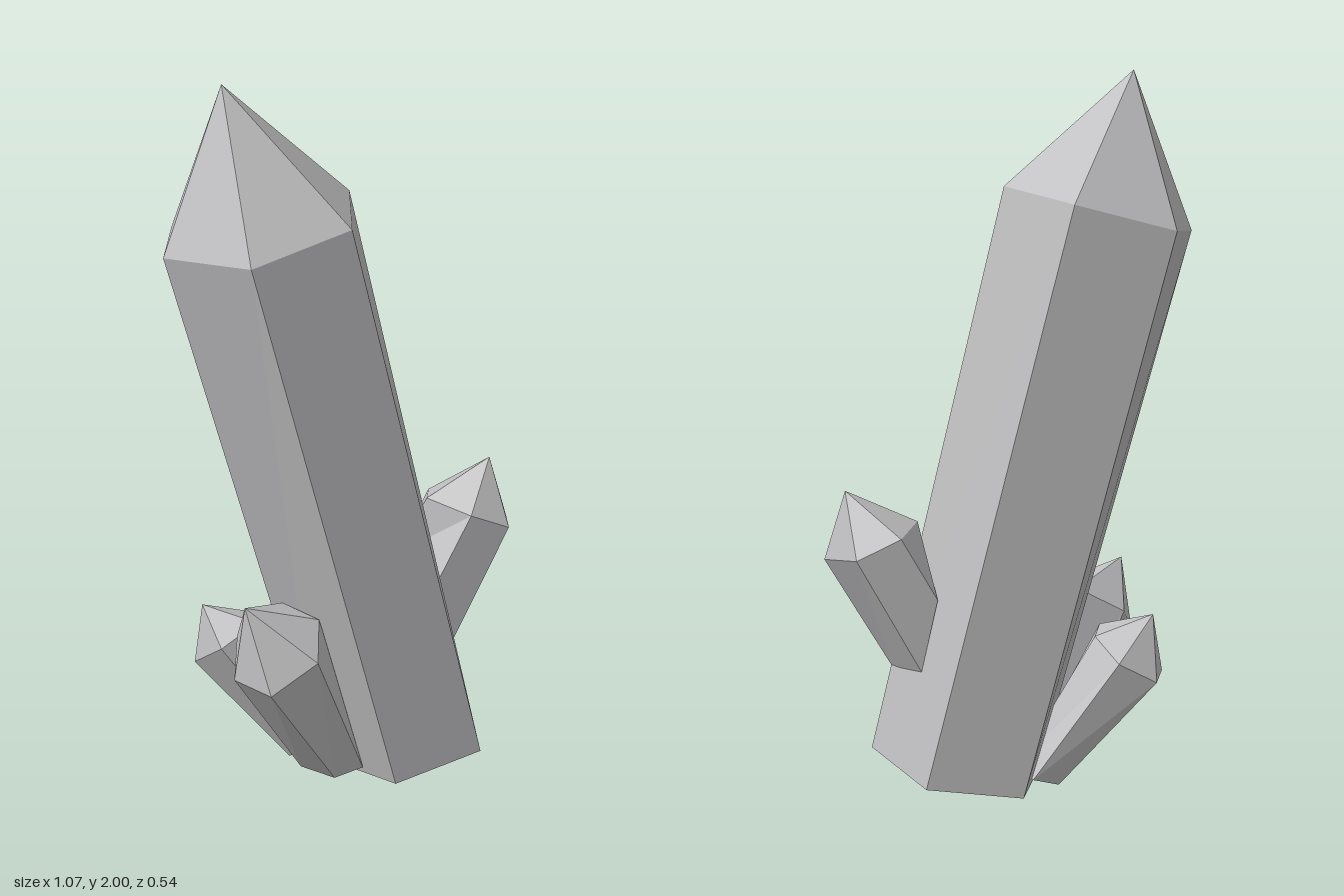
import * as THREE from 'three';

const stone = new THREE.MeshStandardMaterial({ color: 0xbebec0, side: THREE.DoubleSide });
stone.name = 'pale grey stone';

// Six-sided ring mirrored across z = 0, from four [x, y] points going right to left
function symmetricRing(halfDepth, [right, nearRight, nearLeft, left]) {
  return [
    [...right, 0], [...nearRight, halfDepth], [...nearLeft, halfDepth],
    [...left, 0], [...nearLeft, -halfDepth], [...nearRight, -halfDepth],
  ];
}

// Ring order is reversed so the faces still point outward
const mirrorZ = (ring) => ring.map(([x, y, z]) => [x, y, -z]).reverse();

// Faceted crystal: pointed cap above a six-sided shaft, open at the base
function crystal(name, tip, shoulder, base) {
  const points = [];
  shoulder.forEach((a, i) => {
    const j = (i + 1) % shoulder.length;
    const b = shoulder[j];
    points.push(tip, b, a);
    points.push(a, b, base[j], a, base[j], base[i]);
  });
  const geometry = new THREE.BufferGeometry();
  geometry.setAttribute('position', new THREE.Float32BufferAttribute(points.flat(), 3));
  geometry.computeVertexNormals();
  const mesh = new THREE.Mesh(geometry, stone);
  mesh.name = name;
  return mesh;
}

export function createModel() {
  const group = new THREE.Group();
  group.name = 'crystalCluster';

  // Tall leaning crystal
  group.add(crystal('mainCrystal', [-0.36, 2, 0],
    symmetricRing(0.27, [[0.015, 1.68], [-0.11, 1.64], [-0.4, 1.565], [-0.535, 1.55]]),
    symmetricRing(0.27, [[0.4, 0.11], [0.305, 0.055], [0.03, 0.01], [-0.085, 0.005]])));

  // Short crystal growing out of the left flank
  group.add(crystal('sideCrystal', [0.47, 0.845, 0],
    symmetricRing(0.13, [[0.53, 0.655], [0.465, 0.67], [0.34, 0.725], [0.265, 0.75]]),
    symmetricRing(0.13, [[0.34, 0.34], [0.285, 0.35], [0.238, 0.55], [0.25, 0.62]])));

  // Pair of crystals leaning away from the foot: shoulder offsets and a shared base
  const shoulder = [
    [0.125, 0.07, 0.01], [0.07, -0.01, 0.118], [-0.07, -0.085, 0.113],
    [-0.128, -0.07, -0.005], [-0.07, 0.01, -0.115], [0.07, 0.085, -0.115],
  ];
  const foot = [
    [0, 0.06, 0.1], [-0.025, 0.03, 0.17], [-0.105, 0.005, 0.15],
    [-0.16, 0.005, 0.04], [-0.13, 0.03, -0.02], [-0.06, 0.06, 0],
  ];
  const placed = (scale, center) =>
    shoulder.map((p) => p.map((v, k) => center[k] + v * scale));

  group.add(crystal('frontFootCrystal', [-0.385, 0.585, 0.165],
    placed(1, [-0.285, 0.44, 0.155]), foot));
  group.add(crystal('backFootCrystal', [-0.38, 0.48, -0.15],
    mirrorZ(placed(0.8, [-0.31, 0.37, 0.14])), mirrorZ(foot)));

  return group;
}
